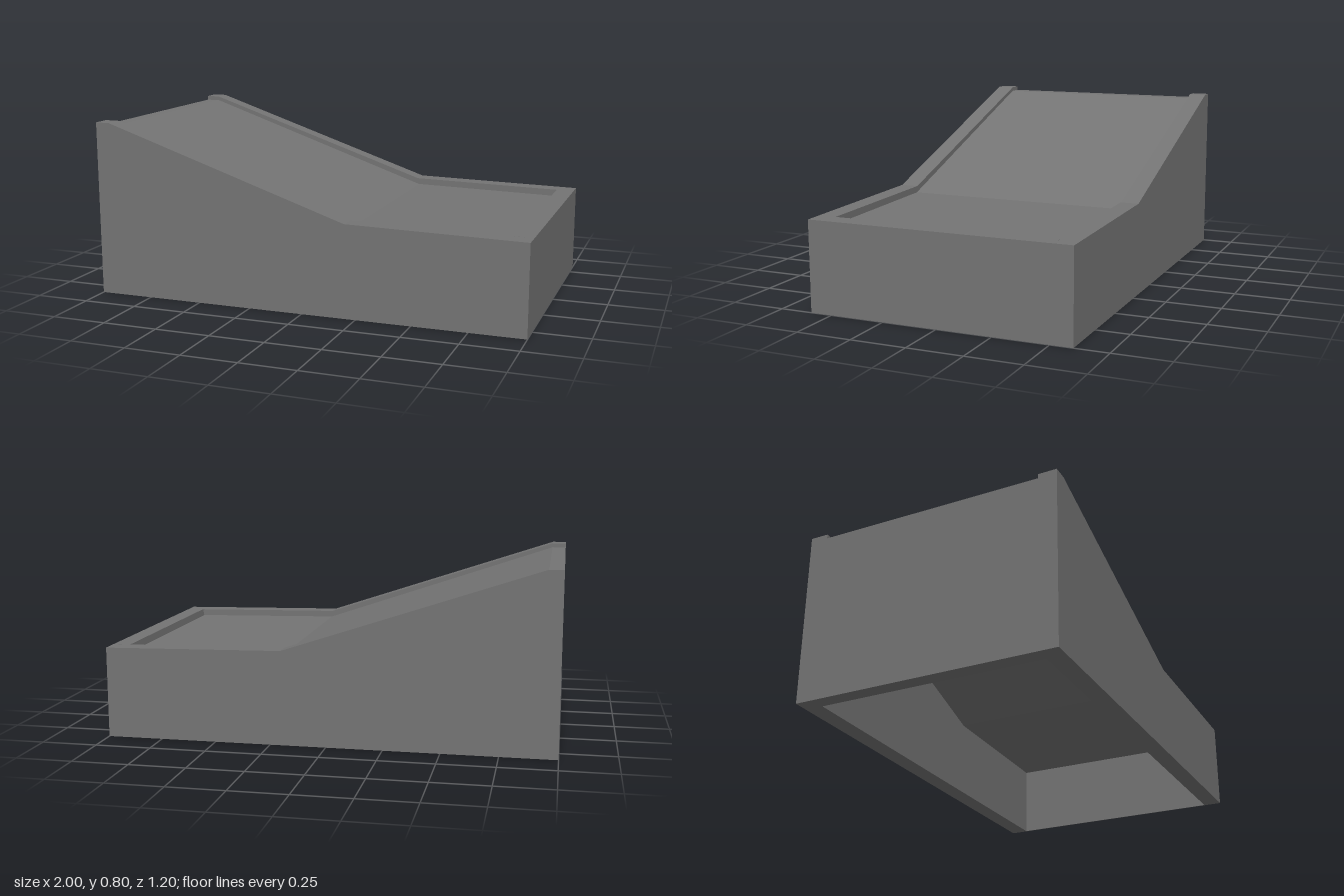
import * as THREE from 'three';

const HALF = 0.6;       // half width of the whole case
const INNER = 0.517;    // half width between the side walls

export function createModel() {
  const group = new THREE.Group();
  const darkGrey = new THREE.MeshStandardMaterial({ color: 0x747474 });

  // Extrudes an x-y outline from z0 to z1
  function slab(name, points, z0, z1) {
    const shape = new THREE.Shape(points.map(([x, y]) => new THREE.Vector2(x, y)));
    const geometry = new THREE.ExtrudeGeometry(shape, { depth: z1 - z0, bevelEnabled: false });
    geometry.translate(0, 0, z0);
    const mesh = new THREE.Mesh(geometry, darkGrey);
    mesh.name = name;
    group.add(mesh);
  }

  // Side walls: tall end, long slope, nearly flat low end
  const wall = [[-1, 0], [1, 0], [1, 0.408], [0.2, 0.422], [-0.935, 0.802], [-1, 0.802]];
  slab('leftSideWall', wall, INNER, HALF);
  slab('rightSideWall', wall, -HALF, -INNER);

  // Hollow centre, open below: tall end wall, thin recessed panel, low end wall with raised lip
  slab('recessedPanelAndEndWalls', [
    [-1, 0], [-0.93, 0], [-0.93, 0.755], [0.26, 0.36], [0.996, 0.345], [0.996, 0], [1, 0],
    [1, 0.408], [0.918, 0.41], [0.912, 0.378], [0.205, 0.392], [-0.935, 0.782], [-1, 0.782],
  ], -INNER, INNER);

  return group;
}
